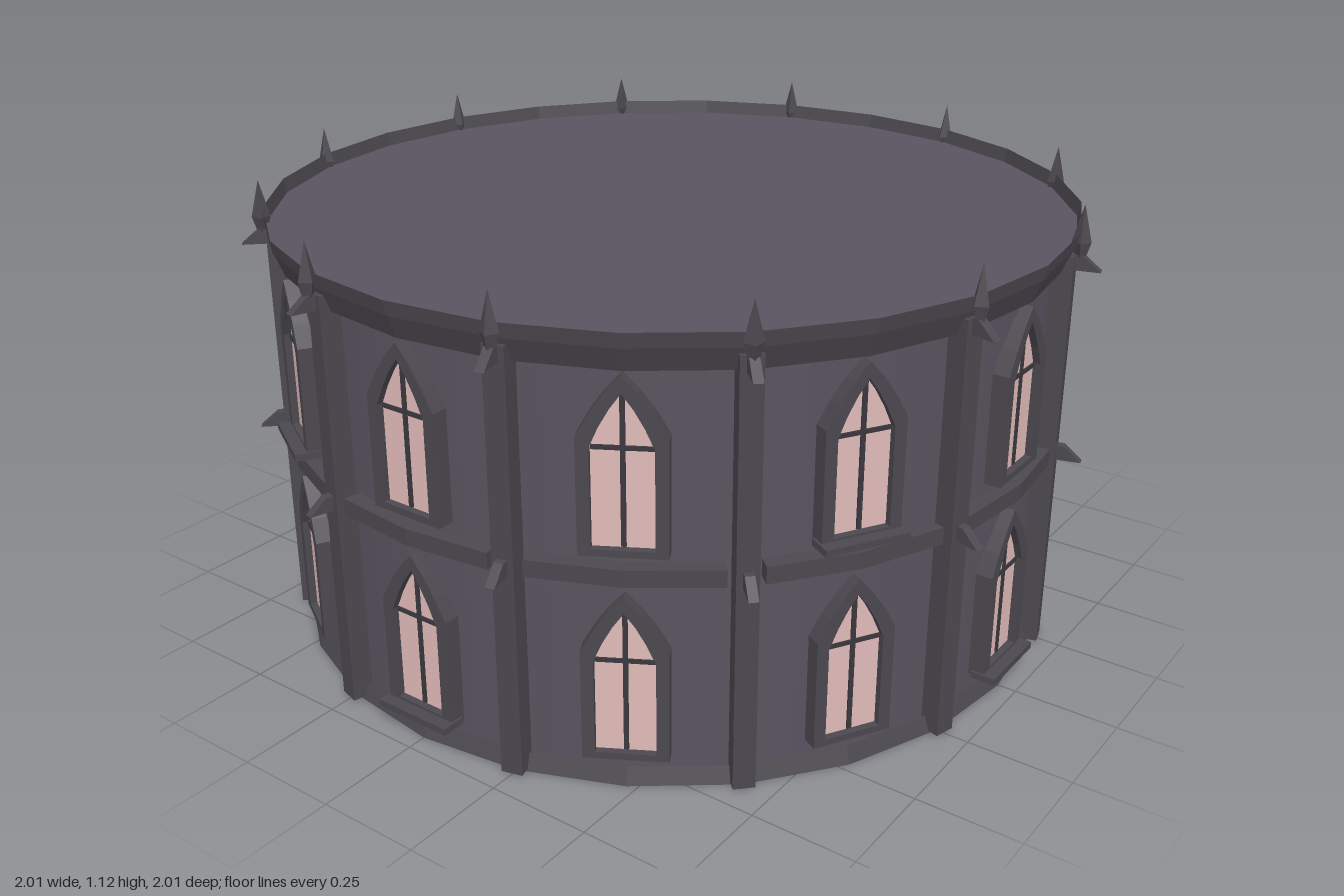
import * as THREE from 'three';

const mat = (name, color, side = THREE.FrontSide) => {
  const m = new THREE.MeshStandardMaterial({ color, side });
  m.name = name;
  return m;
};

export function createModel() {
  const stone = mat('wall stone', 0x585460);
  const trim = mat('trim stone', 0x4b484f, THREE.DoubleSide);
  const glass = mat('rose glass', 0xe2bcb9);
  const lead = mat('window lead', 0x3a383e);

  const model = new THREE.Group();
  model.name = 'gothicRotunda';
  const SIDES = 24;

  const add = (parent, name, geo, material, x = 0, y = 0, z = 0) => {
    const mesh = new THREE.Mesh(geo, material);
    mesh.name = name;
    mesh.position.set(x, y, z);
    parent.add(mesh);
    return mesh;
  };
  const flat = (geo) => {
    const g = geo.toNonIndexed();
    g.computeVertexNormals();
    return g;
  };
  // Ring between two heights, open or capped
  const drum = (rBottom, rTop, y0, y1, open) =>
    new THREE.CylinderGeometry(rTop, rBottom, y1 - y0, SIDES, 1, open).translate(0, (y0 + y1) / 2, 0);

  // Round body with its roof sunk behind a thin rim
  add(model, 'wall', drum(0.93, 0.93, 0, 1.0, false), stone);
  add(model, 'plinth', flat(drum(0.955, 0.94, 0, 0.04, true)), trim);
  add(model, 'corniceSlope', flat(drum(0.952, 0.973, 0.965, 1.02, true)), trim);
  add(model, 'corniceSoffit', flat(drum(0.952, 0.925, 0.965, 0.966, true)), trim);
  add(model, 'roofRim', flat(drum(0.975, 0.982, 1.02, 1.055, true)), trim);
  add(model, 'roof', new THREE.CircleGeometry(0.975, SIDES).rotateX(-Math.PI / 2), stone, 0, 1.02, 0);

  // Pointed arch outline, measured from the window's base
  const arch = (Outline, w, bottom, spring, apex) => {
    const s = new Outline();
    const bend = spring + (apex - spring) * 0.6;
    s.moveTo(-w, bottom);
    s.lineTo(w, bottom);
    s.lineTo(w, spring);
    s.quadraticCurveTo(w * 0.58, bend, 0, apex);
    s.quadraticCurveTo(-w * 0.58, bend, -w, spring);
    s.closePath();
    return s;
  };
  const frameShape = arch(THREE.Shape, 0.094, 0, 0.262, 0.397);
  frameShape.holes.push(arch(THREE.Path, 0.066, 0.016, 0.242, 0.36));
  const frameGeo = new THREE.ExtrudeGeometry(frameShape, { depth: 0.04, bevelEnabled: false, curveSegments: 3 });
  const glassGeo = new THREE.ShapeGeometry(arch(THREE.Shape, 0.068, 0.014, 0.242, 0.362), 3);
  const mullionGeo = new THREE.BoxGeometry(0.011, 0.335, 0.004);
  const transomGeo = new THREE.BoxGeometry(0.13, 0.01, 0.004);
  const sillGeo = new THREE.BoxGeometry(0.2, 0.016, 0.06);

  const addWindow = (parent, y, hasSill) => {
    const w = new THREE.Group();
    w.name = 'window';
    w.position.y = y;
    parent.add(w);
    add(w, 'windowFrame', frameGeo, trim, 0, 0, 0.918);
    add(w, 'windowGlass', glassGeo, glass, 0, 0, 0.941);
    add(w, 'mullion', mullionGeo, lead, 0, 0.186, 0.943);
    add(w, 'transom', transomGeo, lead, 0, 0.238, 0.943);
    if (hasSill) add(w, 'windowSill', sillGeo, trim, 0, 0.002, 0.957);
  };

  // Belt ledge of one bay, bent at the middle and stopping short of the pilasters
  const ledge = new THREE.Shape();
  const reach = 0.22;
  const polar = (r, a) => new THREE.Vector2(r * Math.sin(a), -r * Math.cos(a));
  ledge.setFromPoints([
    ...[-reach, 0, reach].map((a) => polar(0.966, a)),
    ...[reach, 0, -reach].map((a) => polar(0.92, a)),
  ]);
  const ledgeGeo = new THREE.ExtrudeGeometry(ledge, { depth: 0.04, bevelEnabled: false }).rotateX(-Math.PI / 2);

  // Beak-like spout, profile drawn outward then turned to face +z
  const beak = new THREE.Shape();
  beak.moveTo(0.95, 0);
  beak.lineTo(1.035, 0);
  beak.lineTo(0.992, 0.036);
  beak.lineTo(0.95, 0.036);
  beak.closePath();
  const spoutGeo = new THREE.ExtrudeGeometry(beak, { depth: 0.022, bevelEnabled: false });
  spoutGeo.translate(0, 0, -0.011).rotateY(-Math.PI / 2);

  const pilasterGeo = new THREE.BoxGeometry(0.05, 1.0, 0.06);
  const finialBaseGeo = flat(new THREE.CylinderGeometry(0.022, 0.012, 0.035, 4));
  const finialGeo = flat(new THREE.ConeGeometry(0.022, 0.088, 4));

  // Twelve bays: a pair of windows, then a pilaster on the bay's edge
  for (let i = 0; i < 12; i++) {
    const bay = new THREE.Group();
    bay.name = 'bay';
    bay.rotation.y = (i * Math.PI) / 6;
    model.add(bay);
    addWindow(bay, 0.07, i % 3 === 0);
    addWindow(bay, 0.56, i % 3 === 2);
    add(bay, 'beltLedge', ledgeGeo, trim, 0, 0.495, 0);

    const pier = new THREE.Group();
    pier.name = 'pier';
    pier.rotation.y = ((i + 0.5) * Math.PI) / 6;
    model.add(pier);
    add(pier, 'pilaster', pilasterGeo, trim, 0, 0.505, 0.946);
    add(pier, 'middleSpout', spoutGeo, trim, 0, 0.497, 0);
    add(pier, 'upperSpout', spoutGeo, trim, 0, 0.97, 0);
    add(pier, 'finialBase', finialBaseGeo, trim, 0, 1.0175, 0.985);
    add(pier, 'finial', finialGeo, trim, 0, 1.079, 0.985);
  }
  return model;
}
